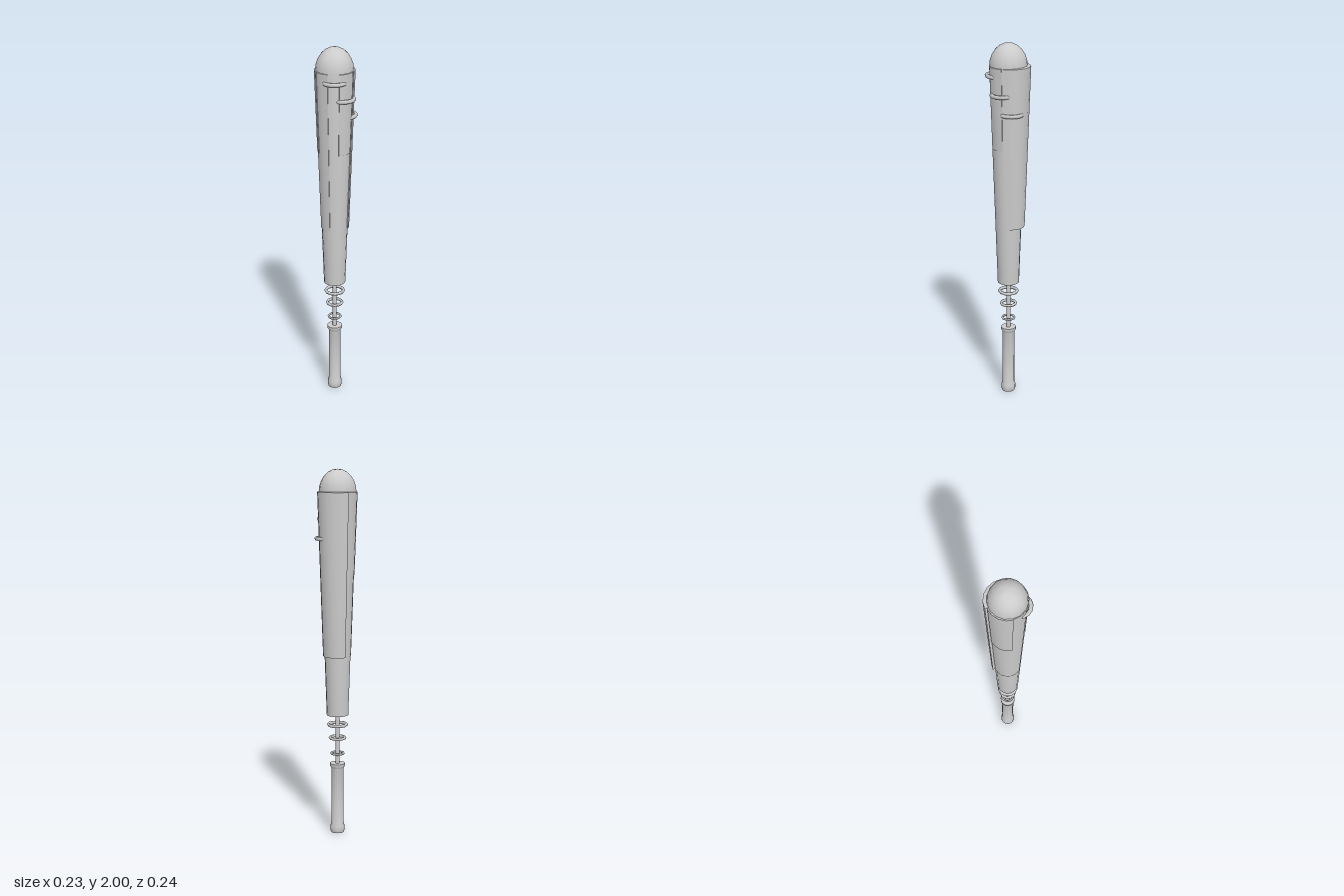
import * as THREE from 'three';
import { toCreasedNormals } from 'three/addons/utils/BufferGeometryUtils.js';

const material = new THREE.MeshStandardMaterial({ color: 0xcccccc, side: THREE.DoubleSide });
const rad = THREE.MathUtils.degToRad;

export function createModel() {
  const model = new THREE.Group();
  const bat = new THREE.Group();
  bat.name = 'bat';
  bat.position.x = -0.012;
  model.add(bat);

  const add = (name, geometry, parent = bat) => {
    const mesh = new THREE.Mesh(geometry, material);
    mesh.name = name;
    parent.add(mesh);
    return mesh;
  };
  const lathe = (points, sides, start = 0, arc = 360) => toCreasedNormals(
    new THREE.LatheGeometry(points.map(([r, y]) => new THREE.Vector2(r, y)), sides, rad(start), rad(arc)), 0.6);

  // Handle with a rounded pommel and a flared collar
  add('handle', lathe([
    [0, 0], [0.036, 0], [0.04, 0.012], [0.04, 0.036], [0.034, 0.052],
    [0.034, 0.37], [0.042, 0.382], [0.042, 0.396], [0, 0.396],
  ], 14));

  // Thin rod joining the handle to the barrel
  add('rod', new THREE.CylinderGeometry(0.012, 0.012, 0.34, 10)).position.y = 0.53;

  // Loose rings around the rod, growing upwards
  for (const [y, radius, tube] of [[0.452, 0.034, 0.006], [0.54, 0.041, 0.008], [0.615, 0.049, 0.009]]) {
    const ring = add('rodRing', new THREE.TorusGeometry(radius, tube, 6, 12));
    ring.rotation.x = Math.PI / 2;
    ring.position.y = y;
  }

  // Tapered barrel closed by a dome
  const bottom = 0.67, shoulder = 1.88;
  const barrelRadius = y => THREE.MathUtils.mapLinear(y, bottom, shoulder, 0.059, 0.1);
  const profile = [[0, bottom], [barrelRadius(bottom), bottom], [barrelRadius(shoulder), shoulder]];
  for (let i = 1; i <= 6; i++) {
    const a = (i / 6) * Math.PI / 2;
    profile.push([0.1 * Math.cos(a), shoulder + 0.12 * Math.sin(a)]);
  }
  add('barrel', lathe(profile, 16));

  // Thin curved panels wrapped around the barrel; angles run from the front towards the left
  const addPanel = (name, start, end, low, offset, shiftZ = 0) => {
    const inner = y => barrelRadius(y) - 0.012;
    const outer = y => barrelRadius(y) + offset;
    const section = [[inner(low), low], [outer(low), low], [outer(shoulder), shoulder],
      [inner(shoulder), shoulder + 0.004], [inner(low), low]];
    const group = new THREE.Group();
    group.name = name;
    group.position.z = shiftZ;
    bat.add(group);
    add(name + 'Shell', lathe(section, Math.max(3, Math.round((end - start) / 22.5)), start, end - start), group);
    // Flat ends of the panel
    const shape = new THREE.Shape(section.slice(0, 4).map(([r, y]) => new THREE.Vector2(r, y)));
    for (const angle of [start, end])
      add(name + 'End', new THREE.ShapeGeometry(shape), group).rotation.y = rad(angle - 90);
  };
  addPanel('frontPanel', 15, 66, 1.44, 0.004);
  addPanel('backPanel', 66, 216, 1.0, 0.008, -0.01);
  addPanel('sidePanel', 214, 340, 1.0, 0.003);
  addPanel('upperSidePanel', 216, 295, 1.44, 0.006);

  // Curved loops stepping down and around the barrel
  for (const [y, angle] of [[1.83, 0], [1.735, 52], [1.635, 103]]) {
    const pivot = new THREE.Group();
    pivot.name = 'sideLoop';
    pivot.rotation.y = rad(angle);
    bat.add(pivot);
    const loop = add('loopTube', new THREE.TorusGeometry(0.058, 0.011, 6, 7, Math.PI), pivot);
    loop.rotation.x = Math.PI / 2;
    loop.position.set(0, y, 0.055);
  }
  return model;
}
